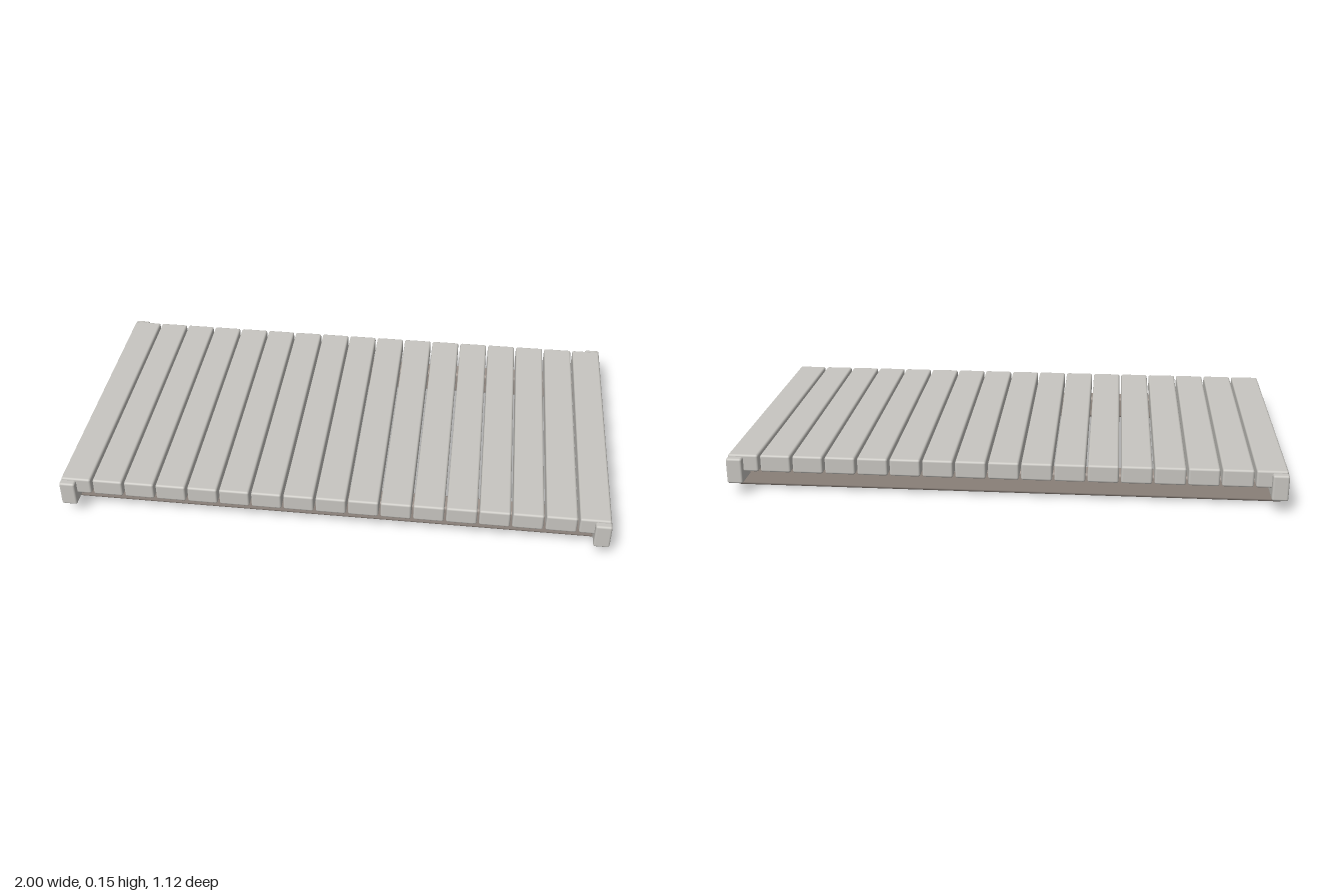
import * as THREE from 'three';
import { RoundedBoxGeometry } from 'three/addons/geometries/RoundedBoxGeometry.js';

export function createModel() {
  const model = new THREE.Group();
  model.name = 'slattedPlatform';

  const paleWood = new THREE.MeshStandardMaterial({ color: 0xc8c6c1 });
  paleWood.name = 'paleWood';
  const brownWood = new THREE.MeshStandardMaterial({ color: 0x9c9189 });
  brownWood.name = 'brownWood';

  // A plank with softly rounded edges, given by its extents on each axis
  function plank(name, material, [x0, x1], [y0, y1], [z0, z1], radius) {
    const geometry = new RoundedBoxGeometry(x1 - x0, y1 - y0, z1 - z0, 2, radius);
    const mesh = new THREE.Mesh(geometry, material);
    mesh.position.set((x0 + x1) / 2, (y0 + y1) / 2, (z0 + z1) / 2);
    mesh.name = name;
    model.add(mesh);
  }

  // Row of deck slats with narrow gaps
  const count = 17, width = 0.11, pitch = (1.996 - width) / (count - 1);
  for (let i = 0; i < count; i++) {
    const x = (i - (count - 1) / 2) * pitch;
    plank(`slat${i + 1}`, paleWood, [x - width / 2, x + width / 2], [0.085, 0.15], [-0.535, 0.535], 0.008);
  }

  // Deeper boards closing the two ends
  plank('leftEndBoard', paleWood, [0.942, 1], [0.046, 0.142], [-0.558, 0.558], 0.008);
  plank('rightEndBoard', paleWood, [-1, -0.942], [0.046, 0.142], [-0.558, 0.558], 0.008);

  // Long bearers under the slats
  plank('frontBearer', brownWood, [-0.997, 0.997], [0, 0.088], [0.387, 0.46], 0.012);
  plank('backBearer', brownWood, [-0.997, 0.997], [0, 0.088], [-0.46, -0.387], 0.012);

  return model;
}
